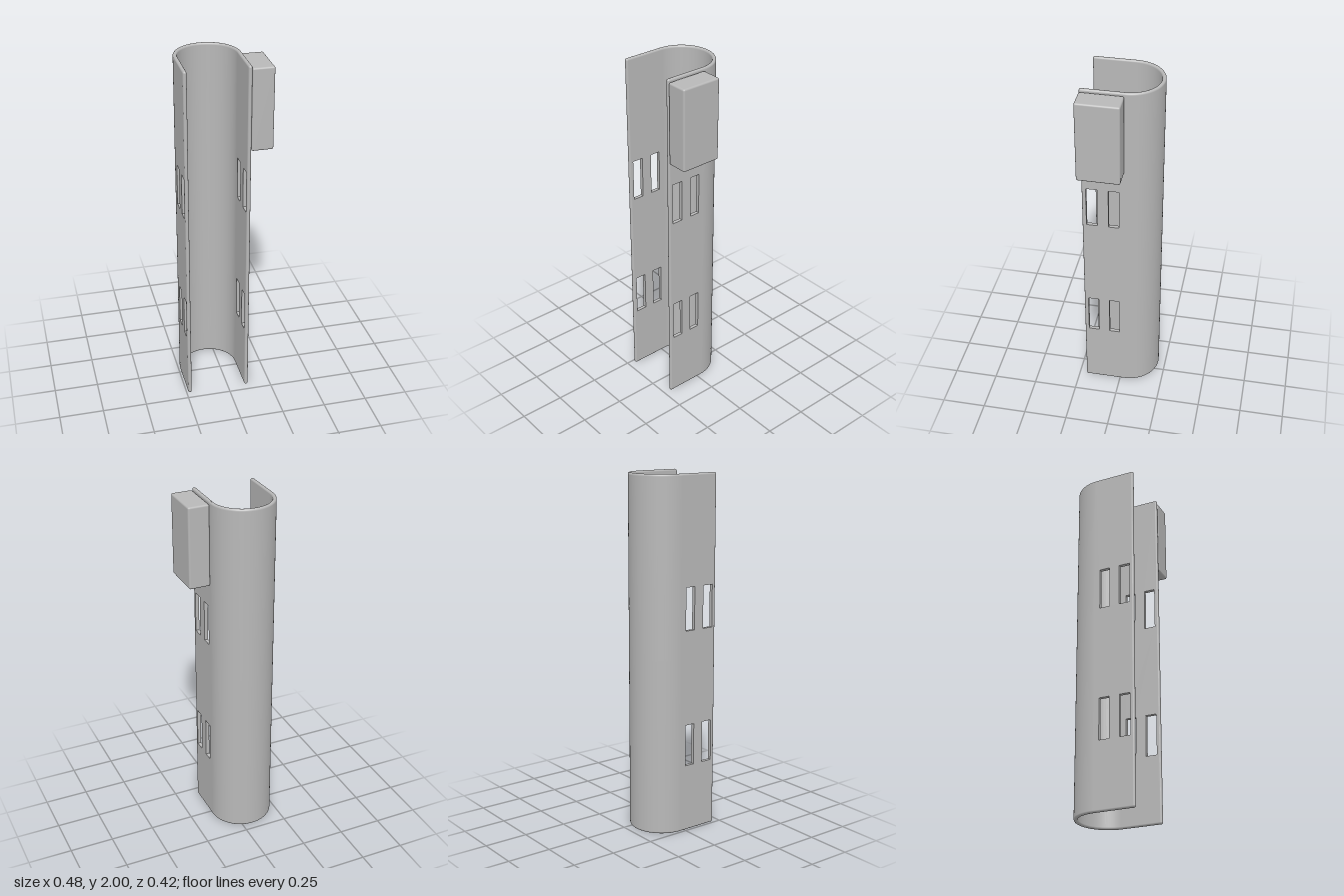
import * as THREE from 'three';
import { RoundedBoxGeometry } from 'three/addons/geometries/RoundedBoxGeometry.js';

const H = 2;            // height of the shell
const R = 0.0105;       // half the wall thickness, also the edge rounding
const BEND = 0.17;      // centreline radius of the curved back
const CX = -0.06;       // centre of the bend
const CZ = -0.028;
const FRONT = 0.197;    // where the rounded front edge begins

// Vertical wall section with rounded ends, swept half a turn
function curvedBack() {
  const pts = [];
  const add = (x, y) => pts.push(new THREE.Vector2(BEND + x, y));
  const e = 0.001;
  add(R, H / 2);
  add(R, H - R - e);
  for (let i = 0; i <= 10; i++) add(R * Math.cos(i * Math.PI / 10), H - R + R * Math.sin(i * Math.PI / 10));
  add(-R, H - R - e);
  add(-R, R + e);
  for (let i = 0; i <= 10; i++) add(-R * Math.cos(i * Math.PI / 10), R - R * Math.sin(i * Math.PI / 10));
  add(R, R + e);
  add(R, H / 2);
  return new THREE.LatheGeometry(pts, 64, Math.PI / 2, Math.PI);
}

// Flat side panel with four slots, drawn in (z, y)
function slottedPanel() {
  const rect = (p, z0, z1, y0, y1) => {
    p.moveTo(z0, y0); p.lineTo(z1, y0); p.lineTo(z1, y1); p.lineTo(z0, y1); p.closePath();
    return p;
  };
  const shape = rect(new THREE.Shape(), CZ, FRONT, R, H - R);
  for (const [y0, y1] of [[0.384, 0.62], [1.155, 1.394]])
    for (const [z0, z1] of [[0.002, 0.061], [0.121, 0.184]])
      shape.holes.push(rect(new THREE.Path(), z0, z1, y0, y1));
  return new THREE.ExtrudeGeometry(shape, { depth: 2 * R, bevelEnabled: false })
    .rotateY(-Math.PI / 2).translate(R, 0, 0);
}

// Half-round strip facing +z
const halfRound = (length) =>
  new THREE.CylinderGeometry(R, R, length, 12, 1, true, -Math.PI / 2, Math.PI);

export function createModel() {
  const group = new THREE.Group();
  const grey = new THREE.MeshStandardMaterial({ color: 0xb8b8b8 });
  grey.name = 'plainGrey';
  const add = (parent, name, geometry, x = 0, y = 0, z = 0) => {
    const mesh = new THREE.Mesh(geometry, grey);
    mesh.name = name;
    mesh.position.set(x, y, z);
    parent.add(mesh);
    return mesh;
  };

  add(group, 'curvedBack', curvedBack(), CX, 0, CZ);

  // Side walls with rounded front, top and bottom edges
  for (const [name, s] of [['leftWall', 1], ['rightWall', -1]]) {
    const wall = new THREE.Group();
    wall.name = name;
    wall.position.x = CX + s * BEND;
    group.add(wall);
    const run = FRONT - CZ, mid = (FRONT + CZ) / 2;
    add(wall, 'slottedPanel', slottedPanel());
    add(wall, 'frontEdge', halfRound(H - 2 * R), 0, H / 2, FRONT);
    add(wall, 'topEdge', halfRound(run).rotateX(-Math.PI / 2), 0, H - R, mid);
    add(wall, 'bottomEdge', halfRound(run).rotateX(Math.PI / 2), 0, R, mid);
    const corner = (t) => new THREE.SphereGeometry(R, 12, 6, 0, Math.PI, t, Math.PI / 2);
    add(wall, 'topCorner', corner(0), 0, H - R, FRONT);
    add(wall, 'bottomCorner', corner(Math.PI / 2), 0, R, FRONT);
  }

  // Block on the outside of the left wall
  add(group, 'sideBlock', new RoundedBoxGeometry(0.12, 0.461, 0.235, 4, 0.01), 0.1805, 1.756, 0.09);

  return group;
}
